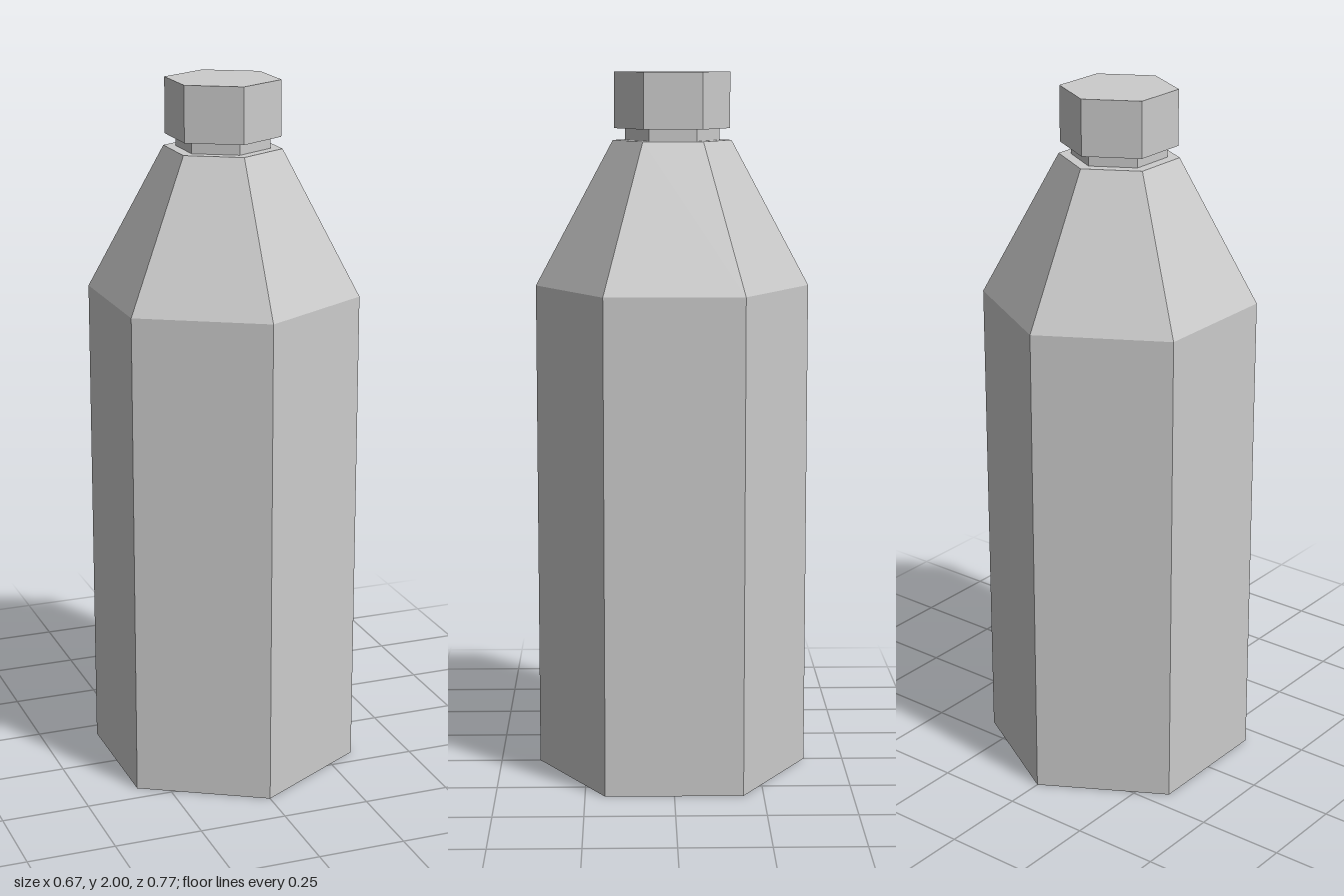
import * as THREE from 'three';

const SIDES = 6;

export function createModel() {
  const group = new THREE.Group();
  group.name = 'bottle';
  const material = new THREE.MeshStandardMaterial({ color: 0xcccccc, flatShading: true });

  // Hexagonal section between two heights, with a corner facing the front
  function addSection(name, bottomRadius, topRadius, y0, y1, open = false) {
    const geometry = new THREE.CylinderGeometry(topRadius, bottomRadius, y1 - y0, SIDES, 1, open);
    geometry.translate(0, (y0 + y1) / 2, 0);
    const mesh = new THREE.Mesh(geometry, material);
    mesh.name = name;
    group.add(mesh);
  }

  // Body and shoulder form one closed shell
  const profile = [[0, 0], [0.387, 0], [0.387, 1.4], [0.167, 1.81], [0, 1.81]];
  const shell = new THREE.LatheGeometry(profile.map(([r, y]) => new THREE.Vector2(r, y)), SIDES);
  const body = new THREE.Mesh(shell, material);
  body.name = 'body';
  group.add(body);

  // Neck and screw cap
  addSection('neck', 0.133, 0.133, 1.81, 1.843, true);
  addSection('cap', 0.163, 0.163, 1.843, 2);

  return group;
}
